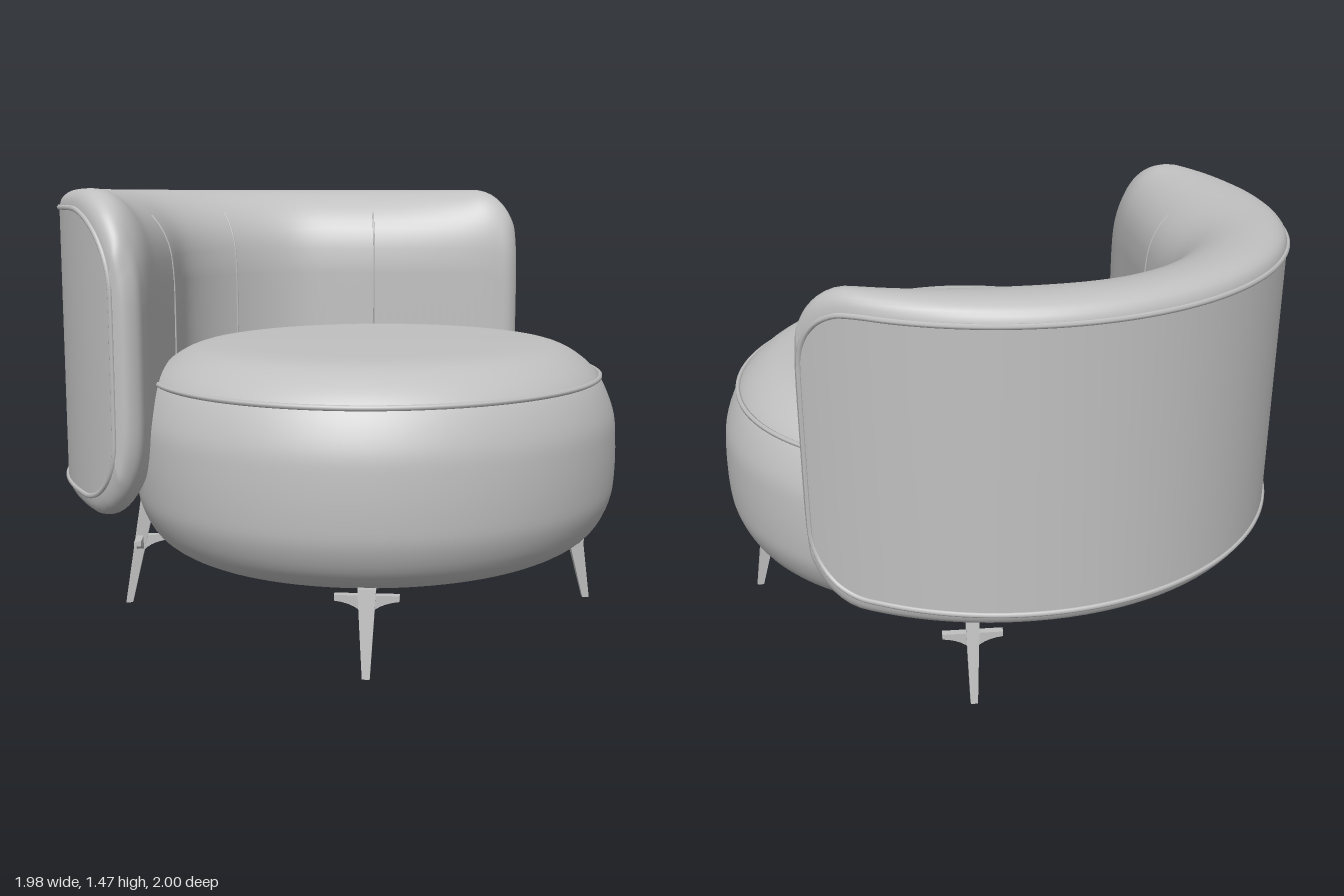
import * as THREE from 'three';

const fabric = new THREE.MeshStandardMaterial({ color: 0xc0c0c0 });
fabric.name = 'light grey';

const SEAT_Z = 0.185;
const TOP = 1.41, BOTTOM = 0.48; // edges of the outer back panel
const STEPS = 8; // rows between two rail points

function add(parent, name, geometry) {
  const mesh = new THREE.Mesh(geometry, fabric);
  mesh.name = name;
  parent.add(mesh);
  return mesh;
}

function tube(points, radius, closed, segments) {
  const curve = new THREE.CatmullRomCurve3(points, closed);
  curve.arcLengthDivisions = 800;
  return new THREE.TubeGeometry(curve, segments, radius, 6, closed);
}

// Smooth surface through rows of points
function skin(rows, flip) {
  const n = rows[0].length, index = [];
  for (let i = 0; i < rows.length - 1; i++) {
    for (let j = 0; j < n - 1; j++) {
      const a = i * n + j, b = a + 1, c = a + n, d = c + 1;
      if (flip) index.push(a, c, b, b, c, d);
      else index.push(a, b, c, b, d, c);
    }
  }
  const geometry = new THREE.BufferGeometry().setFromPoints(rows.flat());
  geometry.setIndex(index);
  geometry.computeVertexNormals();
  return geometry;
}

function buildSeat(root) {
  const seat = new THREE.Group();
  seat.name = 'seat';
  seat.position.z = SEAT_Z;
  root.add(seat);

  // Round cushion, profile given as share of the radius and height
  const side = new THREE.SplineCurve([
    [0.72, 0.243], [0.84, 0.265], [0.93, 0.32], [0.985, 0.41], [1, 0.5], [1, 0.62],
    [0.985, 0.72], [0.925, 0.832], [0.84, 0.9], [0.74, 0.938], [0.6, 0.95],
  ].map(p => new THREE.Vector2(...p)));
  const profile = [new THREE.Vector2(0, 0.24), new THREE.Vector2(0.66, 0.24),
    ...side.getPoints(40), new THREE.Vector2(0.3, 0.953), new THREE.Vector2(0, 0.954)];
  add(seat, 'seatCushion', new THREE.LatheGeometry(profile, 96).scale(0.865, 1, 0.815));

  // Piping round the top edge
  const ring = [];
  for (let i = 0; i < 48; i++) {
    const a = i / 48 * Math.PI * 2;
    ring.push(new THREE.Vector3(0.805 * Math.cos(a), 0.835, 0.755 * Math.sin(a)));
  }
  add(seat, 'seatPiping', tube(ring, 0.009, true, 144));
}

function buildBack(root) {
  const back = new THREE.Group();
  back.name = 'backrest';
  root.add(back);

  // Inner rail: x and z of the inner face, paired with the angle on the outer arc
  const half = [[0, 0, -0.6], [25, 0.27, -0.54], [50, 0.5, -0.33], [68, 0.7, -0.14],
    [85, 0.86, 0.01], [88.5, 0.915, 0.045], [89.6, 0.96, 0.038], [90, 0.985, 0]];
  const rail = [...half.slice(1).reverse().map(([a, x, z]) => [-a, -x, z]), ...half]
    .map(([a, x, z]) => new THREE.Vector3(x, THREE.MathUtils.degToRad(a), z));
  const samples = new THREE.CatmullRomCurve3(rail).getPoints((rail.length - 1) * STEPS);

  // Upper half of the cushion section: share of thickness, rise above the panel edge
  const roll = new THREE.SplineCurve([
    [0, 0], [0.03, 0.032], [0.13, 0.056], [0.3, 0.062], [0.5, 0.048], [0.7, 0.008],
    [0.87, -0.06], [0.97, -0.15], [1, -0.27],
  ].map(p => new THREE.Vector2(...p))).getPoints(20);

  // Rounded corner of the panel
  const drop = (angle, r) => {
    const u = THREE.MathUtils.clamp(1 - (Math.PI / 2 - Math.abs(angle)) * 0.985 / r, 0, 1);
    return r * (1 - Math.sqrt(1 - u * u));
  };

  const cushion = [], panel = [];
  for (const s of samples) {
    const angle = s.y;
    const top = TOP - drop(angle, angle < 0 ? 0.27 : 0.2);
    const bottom = BOTTOM + drop(angle, 0.2);
    const k = (top - bottom) / (TOP - BOTTOM);
    const ox = 0.982 * Math.sin(angle), oz = -0.99 * Math.cos(angle);
    const at = (t, y) => new THREE.Vector3(ox + (s.x - ox) * t, y, oz + (s.z - oz) * t);
    const rise = d => (d > 0 ? d : d * k);
    cushion.push([
      ...roll.map(p => at(p.x, top + rise(p.y))),
      ...[...roll].reverse().map(p => at(p.x, bottom - rise(p.y))),
    ]);
    panel.push([at(0, top), at(0, (top + bottom) / 2), at(0, bottom)]);
  }
  add(back, 'backCushion', skin(cushion, false));
  add(back, 'backPanel', skin(panel, true));

  // Piping round the panel
  const outline = [...panel.map(r => r[0]), ...panel.map(r => r[2]).reverse()];
  add(back, 'backPiping', tube(outline.filter((p, i) => i % 2 === 0), 0.009, true, 320));

  // Upright seams on the inner face
  const middle = (samples.length - 1) / 2;
  for (const offset of [-2, 0, 2]) {
    const row = cushion[middle + offset * STEPS];
    add(back, 'backSeam', tube(row.slice(14, -14), 0.004, false, 24));
  }
}

function buildLeg(root, x, z, height, name) {
  const leg = new THREE.Group();
  leg.name = name;
  leg.position.set(x, 0, z);
  leg.rotation.y = Math.atan2(x, z - SEAT_Z); // local +z points outwards
  root.add(leg);

  // Tapered post, leaning inwards towards the top
  const post = new THREE.CylinderGeometry(0.04, 0.017, height, 4, 1).rotateY(Math.PI / 4);
  post.translate(0, height / 2, 0);
  const p = post.attributes.position;
  for (let i = 0; i < p.count; i++) p.setZ(i, p.getZ(i) - 0.2 * p.getY(i));
  const flat = post.toNonIndexed();
  flat.computeVertexNormals();
  add(leg, 'legPost', flat);

  // Three curved bracket arms under the seat
  const arm = new THREE.Shape();
  arm.moveTo(0, 0.25);
  arm.lineTo(0, 0.18);
  arm.quadraticCurveTo(0.03, 0.225, 0.1, 0.232);
  arm.lineTo(0.1, 0.25);
  arm.closePath();
  for (const turn of [0, Math.PI / 2, Math.PI]) {
    const geometry = new THREE.ExtrudeGeometry(arm, { depth: 0.024, bevelEnabled: false, curveSegments: 6 });
    const mesh = add(leg, 'legBracket', geometry.translate(0, 0, -0.012));
    mesh.position.z = -0.045;
    mesh.rotation.y = turn;
  }
}

export function createModel() {
  const root = new THREE.Group();
  root.name = 'armchair';
  buildSeat(root);
  buildBack(root);
  for (const side of [-1, 1]) {
    buildLeg(root, side * 0.565, 0.7, 0.27, 'frontLeg');
    buildLeg(root, side * 0.675, -0.4, 0.45, 'backLeg');
  }
  return root;
}
